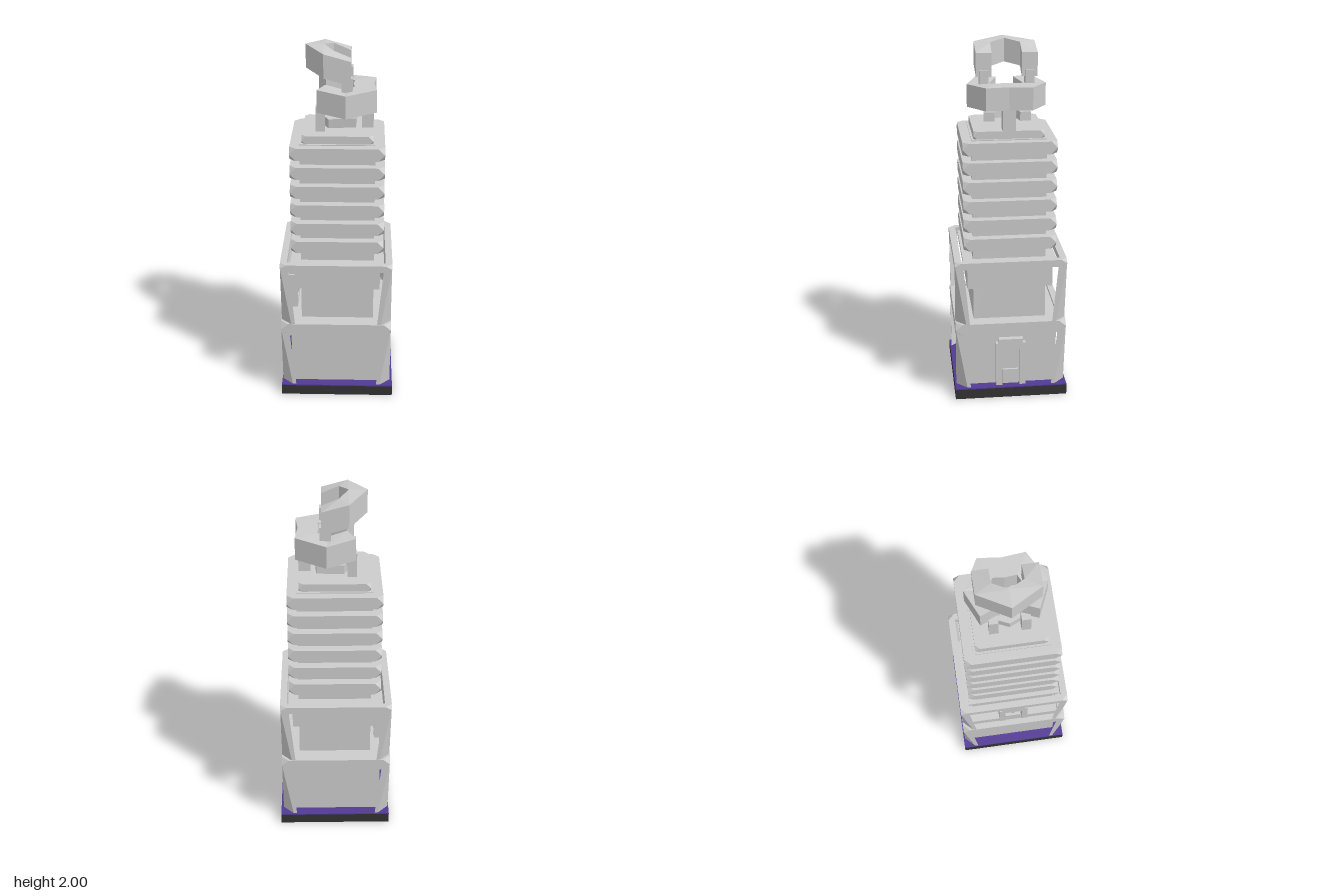
import * as THREE from 'three';
import { ConvexGeometry } from 'three/addons/geometries/ConvexGeometry.js';

const mat = (color) => new THREE.MeshStandardMaterial({ color, flatShading: true });
const GREY = mat(0xcccccc), DARK = mat(0x333333), PURPLE = mat(0x523a94);
const V = (x, y, z) => new THREE.Vector3(x, y, z);

function add(parent, name, geometry, material = GREY) {
  const mesh = new THREE.Mesh(geometry, material);
  mesh.name = name;
  parent.add(mesh);
  return mesh;
}

// Box given by its limits
function box(parent, name, x0, x1, y0, y1, z0, z1, material) {
  const m = add(parent, name, new THREE.BoxGeometry(x1 - x0, y1 - y0, z1 - z0), material);
  m.position.set((x0 + x1) / 2, (y0 + y1) / 2, (z0 + z1) / 2);
  return m;
}

// Square slab whose eight corners are cut to a point at mid height
function cutSlab(a, h, c) {
  const p = [];
  for (const sx of [-1, 1]) for (const sz of [-1, 1]) {
    p.push(V(sx * a, 0, sz * a));
    for (const y of [-h / 2, h / 2]) p.push(V(sx * (a - c), y, sz * a), V(sx * a, y, sz * (a - c)));
  }
  return new ConvexGeometry(p);
}

// One side of a square ring with the same cut corners
function ringSide(a, b, h, c) {
  const p = [];
  for (const s of [-1, 1]) {
    p.push(V(s * a, 0, a));
    for (const y of [-h / 2, h / 2])
      p.push(V(s * (a - c), y, a), V(s * (a - c / 2), y, a - c / 2), V(s * b, y, b));
  }
  return new ConvexGeometry(p);
}

// Corner post: sharp at the top, chamfered more and more toward the foot
function post(a, y0, y1) {
  const p = [V(a, y1, a), V(a - 0.045, y1, a), V(a, y1, a - 0.045)];
  for (const d of [0.06, 0.08]) p.push(V(a - d, y0, a), V(a, y0, a - d));
  return new ConvexGeometry(p);
}

// Chunky mitred bar with an upright rectangular section
function bar(parent, name, path, halfWidth, height) {
  const pts = path.map((q) => V(...q));
  const sections = pts.map((q, i) => {
    const flat = (a, b) => V(b.x - a.x, 0, b.z - a.z).normalize();
    const t1 = flat(pts[Math.max(i - 1, 0)], pts[Math.max(i, 1)]);
    const t2 = i < pts.length - 1 ? flat(q, pts[i + 1]) : t1;
    const t = t1.clone().add(t2).normalize();
    const w = halfWidth / Math.max(0.6, t.dot(t1));
    const n = V(-t.z, 0, t.x).multiplyScalar(w);
    const corners = [];
    for (const s of [-1, 1]) for (const y of [-height / 2, height / 2])
      corners.push(q.clone().addScaledVector(n, s).add(V(0, y, 0)));
    return corners;
  });
  for (let i = 0; i < sections.length - 1; i++)
    add(parent, name, new ConvexGeometry([...sections[i], ...sections[i + 1]]));
}

// Full horseshoe from one half of its path, mirrored in z
const horseshoe = (half) => [...half.slice(1).reverse().map(([x, y, z]) => [x, y, -z]), ...half];

// Door frame with a hanging wedge and a low block in the opening
function doorway() {
  const g = new THREE.Group();
  const poly = (pts) => new THREE.Shape(pts.map(([x, y]) => new THREE.Vector2(x, y)));
  const frame = poly([[-0.085, 0], [-0.085, 0.265], [-0.07, 0.265], [-0.07, 0.29], [0.07, 0.29], [0.07, 0.265],
    [0.085, 0.265], [0.085, 0], [0.05, 0], [0.05, 0.225], [-0.05, 0.225], [-0.05, 0]]);
  add(g, 'doorFrame', new THREE.ExtrudeGeometry(frame, { depth: 0.05, bevelEnabled: false }));
  const wedge = poly([[-0.04, 0.225], [0, 0.12], [0.04, 0.225]]);
  add(g, 'doorWedge', new THREE.ExtrudeGeometry(wedge, { depth: 0.03, bevelEnabled: false }));
  box(g, 'doorBlock', -0.045, 0.045, 0, 0.09, 0, 0.03);
  return g;
}

export function createModel() {
  const model = new THREE.Group();

  // Base plate with coloured top
  box(model, 'base', -0.32, 0.32, 0, 0.058, -0.32, 0.32, DARK);
  box(model, 'baseTop', -0.32, 0.32, 0.058, 0.064, -0.32, 0.32, PURPLE);

  // Ground storey, floor above it and upper storey
  box(model, 'lowerWalls', -0.262, 0.262, 0.06, 0.4, -0.262, 0.262);
  box(model, 'upperFloor', -0.264, 0.275, 0.4, 0.45, -0.275, 0.275);
  box(model, 'towerCore', -0.205, 0.205, 0.45, 1.5, -0.205, 0.205);
  box(model, 'overhang', -0.24, 0.24, 0.65, 0.79, -0.24, 0.24);
  box(model, 'overhangTop', -0.262, 0.262, 0.79, 0.815, -0.262, 0.262);

  // Outer frame: two rings and two tiers of corner posts
  const frame = new THREE.Group();
  frame.name = 'outerFrame';
  frame.position.set(-0.005, 0, 0);
  model.add(frame);
  const a = 0.313;
  for (let i = 0; i < 4; i++) {
    const side = new THREE.Group();
    side.name = 'frameSide';
    side.rotation.y = i * Math.PI / 2;
    frame.add(side);
    add(side, 'middleRing', ringSide(a, 0.277, 0.07, 0.04)).position.y = 0.425;
    add(side, 'topRing', ringSide(a, 0.275, 0.04, 0.035)).position.y = 0.81;
    add(side, 'lowerPost', post(a - 0.002, 0.06, 0.42));
    add(side, 'upperPost', post(a - 0.002, 0.44, 0.81));
  }

  // Doorways on the left wall and the upper right gallery
  const lowerDoor = doorway();
  lowerDoor.name = 'lowerDoorway';
  lowerDoor.rotation.y = Math.PI / 2;
  lowerDoor.position.set(0.245, 0.062, 0);
  const upperDoor = doorway();
  upperDoor.name = 'upperDoorway';
  upperDoor.rotation.y = -Math.PI / 2;
  upperDoor.position.set(-0.235, 0.392, 0);
  model.add(lowerDoor, upperDoor);

  // Stacked tower slabs and cap
  for (let i = 0; i < 6; i++)
    add(model, 'towerSlab', cutSlab(0.257, 0.07, 0.035)).position.y = 0.915 + i * 0.109;
  add(model, 'towerCap', cutSlab(0.193, 0.05, 0.025)).position.y = 1.518;

  // Crown: three tiers of angular horseshoes on legs
  const crown = new THREE.Group();
  crown.name = 'crown';
  model.add(crown);
  bar(crown, 'crownBottom', horseshoe([[-0.07, 1.59, 0], [-0.03, 1.59, 0.09], [0.1, 1.6, 0.1]]), 0.03, 0.05);
  bar(crown, 'crownMiddle', horseshoe([[0.14, 1.72, 0], [0.15, 1.72, 0.095], [0.04, 1.71, 0.155], [-0.09, 1.725, 0.1]]), 0.056, 0.125);
  bar(crown, 'crownTop', horseshoe([[-0.125, 1.935, 0], [-0.05, 1.92, 0.125], [0.07, 1.88, 0.125]]), 0.043, 0.13);
  box(crown, 'backLeg', 0.13, 0.195, 1.54, 1.68, -0.035, 0.035);
  for (const s of [-1, 1]) {
    box(crown, 'sideLeg', -0.12, -0.07, 1.54, 1.68, s * 0.085 - 0.025, s * 0.085 + 0.025);
    box(crown, 'crownLink', 0.02, 0.08, 1.75, 1.85, s * 0.125 - 0.025, s * 0.125 + 0.025);
  }
  return model;
}
